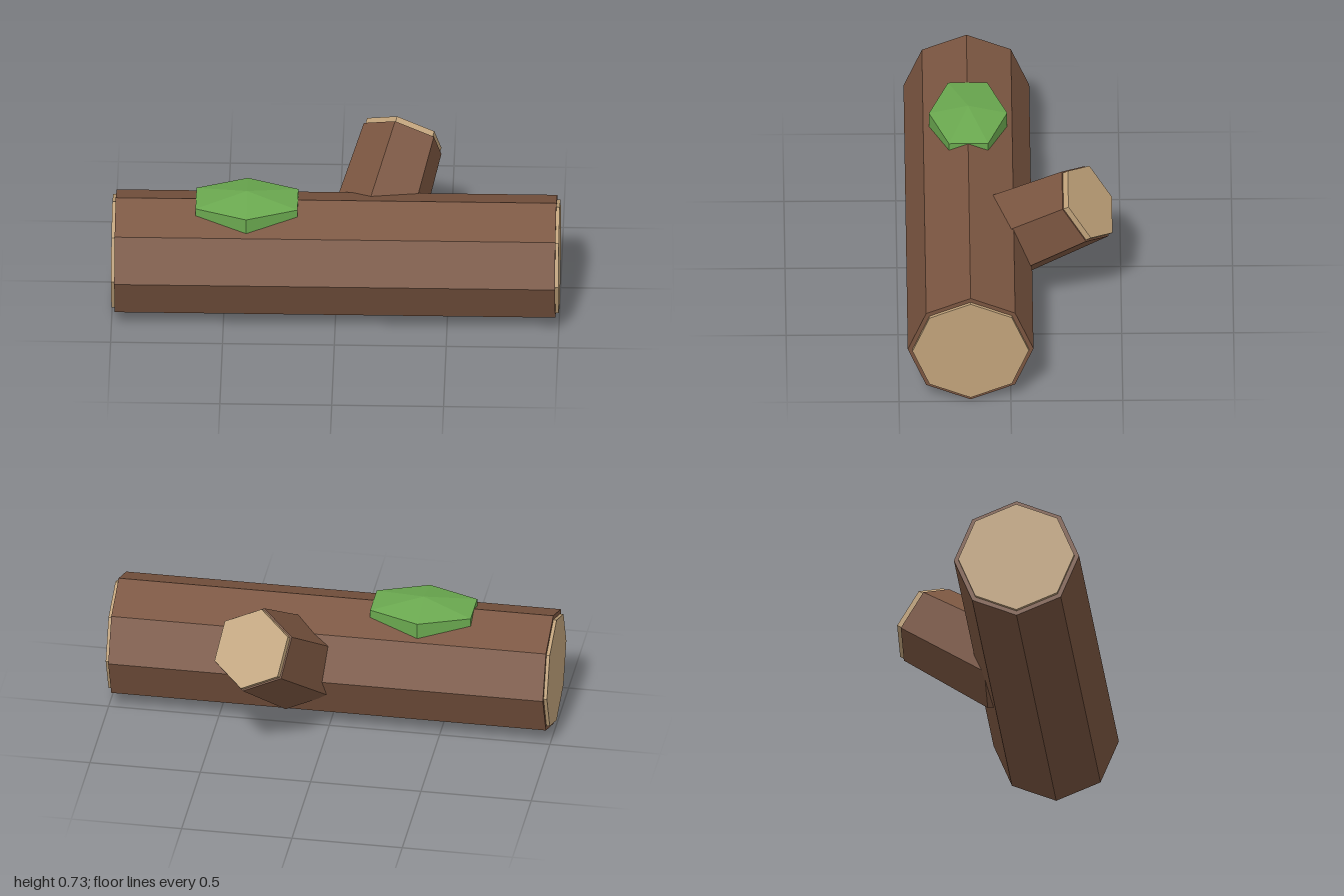
import * as THREE from 'three';

const material = (name, color) => {
  const m = new THREE.MeshStandardMaterial({ color, flatShading: true });
  m.name = name;
  return m;
};

export function createModel() {
  const bark = material('bark', 0x7a5540);
  const wood = material('cut wood', 0xc0a27a);
  const moss = material('moss', 0x6aa84f);

  const model = new THREE.Group();
  model.name = 'log';

  const add = (parent, name, geometry, mat, y = 0) => {
    const mesh = new THREE.Mesh(geometry, mat);
    mesh.name = name;
    mesh.position.y = y;
    parent.add(mesh);
    return mesh;
  };

  // Trunk: an eight-sided log lying along x, with a corner on top
  const trunk = new THREE.Group();
  trunk.name = 'trunk';
  trunk.rotation.z = -Math.PI / 2;
  trunk.position.set(0, 0.283, 0.18);
  model.add(trunk);
  const octagon = (r, h) => new THREE.CylinderGeometry(r, r, h, 8);
  add(trunk, 'trunkBark', octagon(0.281, 1.97), bark);
  for (const side of [-1, 1]) {
    add(trunk, side > 0 ? 'leftCutEnd' : 'rightCutEnd', octagon(0.26, 0.04), wood, side * 0.98);
  }

  // Branch stub: tapered six-sided stump leaning up, back and to the left
  const branch = new THREE.Group();
  branch.name = 'branch';
  const axis = new THREE.Vector3(0.257, 0.568, -0.78).normalize();
  const side = axis.clone().cross(new THREE.Vector3(-0.164, 0.82, 0.546)).normalize();
  const corner = side.clone().cross(axis);
  branch.quaternion.setFromRotationMatrix(new THREE.Matrix4().makeBasis(side, axis, corner));
  branch.position.set(0.154, 0.275, 0.061);
  model.add(branch);
  add(branch, 'branchBark', new THREE.CylinderGeometry(0.191, 0.213, 0.512, 6), bark, 0.256);
  add(branch, 'branchCutEnd', new THREE.CylinderGeometry(0.183, 0.183, 0.05, 6), wood, 0.515);

  // Moss: a flat six-sided cushion with a low peak
  const profile = [[0, -0.084], [1, -0.042], [1, 0.042], [0, 0.084]];
  const cushion = new THREE.LatheGeometry(profile.map(([r, y]) => new THREE.Vector2(r * 0.263, y)), 6);
  cushion.scale(1, 1, 0.175 / 0.263);
  add(model, 'mossPatch', cushion, moss).position.set(-0.398, 0.523, 0.178);

  return model;
}
